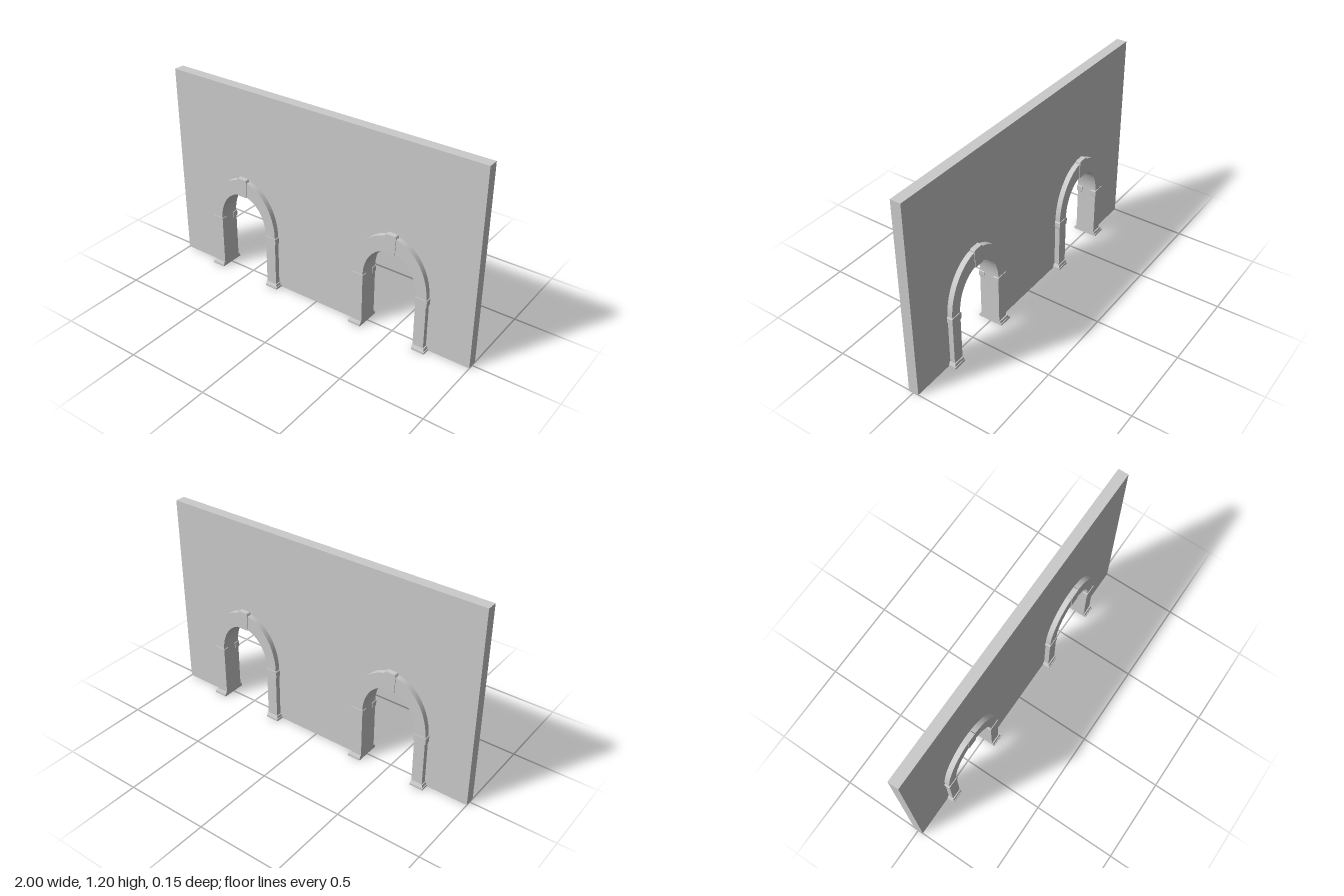
import * as THREE from 'three';
import { toCreasedNormals } from 'three/addons/utils/BufferGeometryUtils.js';

const WALL_Z = 0.031, BAND_Z = 0.062;      // half thicknesses of wall and trim
const IN = 0.167, OUT = 0.2325;            // half widths of opening and trim
const SPRING = 0.34, IN_TOP = 0.55, OUT_TOP = 0.643;
const CENTRES = [-0.506, 0.502];

const material = new THREE.MeshStandardMaterial({ color: 0xcccccc });

function add(parent, name, geometry) {
  const mesh = new THREE.Mesh(geometry, material);
  mesh.name = name;
  parent.add(mesh);
  return mesh;
}

function extrude(shape, z0, z1) {
  const g = new THREE.ExtrudeGeometry(shape, { depth: z1 - z0, bevelEnabled: false, curveSegments: 32 });
  g.translate(0, 0, z0);
  return toCreasedNormals(g, 0.5);
}

function box(x0, x1, y0, y1, z0, z1) {
  return new THREE.BoxGeometry(x1 - x0, y1 - y0, z1 - z0)
    .translate((x0 + x1) / 2, (y0 + y1) / 2, (z0 + z1) / 2);
}

// Box whose outer side and front draw in towards the top
function taperedBox(x0, x1, y0, y1, z0, z1, inset, side) {
  const g = box(x0, x1, y0, y1, z0, z1);
  const p = g.attributes.position;
  const outer = side > 0 ? x1 : x0;
  for (let i = 0; i < p.count; i++) {
    if (p.getY(i) < (y0 + y1) / 2) continue;
    if (Math.abs(p.getX(i) - outer) < 1e-5) p.setX(i, outer - side * inset);
    if (Math.abs(p.getZ(i) - z1) < 1e-5) p.setZ(i, z1 - inset);
  }
  g.computeVertexNormals();
  return g;
}

// Wall outline, notched by the two arched openings
function wallShape() {
  const s = new THREE.Shape();
  s.moveTo(-1, 0);
  for (const c of CENTRES) {
    s.lineTo(c - IN, 0);
    s.lineTo(c - IN, SPRING);
    s.absellipse(c, SPRING, IN, IN_TOP - SPRING, Math.PI, 0, true);
    s.lineTo(c + IN, 0);
  }
  s.lineTo(1, 0);
  s.lineTo(1, 1.2);
  s.lineTo(-1, 1.2);
  return s;
}

// Curved band between the outer and inner ellipses
function bandShape() {
  const s = new THREE.Shape();
  s.moveTo(OUT, SPRING);
  s.absellipse(0, SPRING, OUT, OUT_TOP - SPRING, 0, Math.PI, false);
  s.lineTo(-IN, SPRING);
  s.absellipse(0, SPRING, IN, IN_TOP - SPRING, Math.PI, 0, true);
  return s;
}

// Impost outline with clipped corners, seen from the front
function impostShape(side) {
  const a = IN - 0.004, b = OUT + 0.006, c = 0.005;
  const pts = [[a + c, 0.298], [b - c, 0.298], [b, 0.304], [b, 0.336],
    [b - c, 0.341], [a + c, 0.341], [a, 0.336], [a, 0.304]];
  return new THREE.Shape(pts.map(([x, y]) => new THREE.Vector2(side * x, y)));
}

// Keystone, slightly wider at the top
function keystoneShape() {
  const pts = [[-0.03, 0.544], [0.03, 0.544], [0.034, 0.648], [0.028, 0.656], [-0.028, 0.656], [-0.034, 0.648]];
  return new THREE.Shape(pts.map(([x, y]) => new THREE.Vector2(x, y)));
}

// All trim for one face of one opening
function archTrim() {
  const trim = new THREE.Group();
  trim.name = 'archTrim';
  add(trim, 'archBand', extrude(bandShape(), WALL_Z, BAND_Z));
  add(trim, 'keystone', extrude(keystoneShape(), 0.037, 0.066));
  for (const side of [-1, 1]) {
    const span = (inner, outer) => (side > 0 ? [inner, outer] : [-outer, -inner]);
    add(trim, 'pier', box(...span(IN, OUT), 0, SPRING, WALL_Z, BAND_Z));
    add(trim, 'impost', extrude(impostShape(side), WALL_Z, 0.066));
    add(trim, 'plinth', box(...span(IN, 0.247), 0, 0.013, WALL_Z, 0.077));
    add(trim, 'plinthCap', taperedBox(...span(IN, 0.243), 0.013, 0.026, WALL_Z, 0.073, 0.005, side));
  }
  return trim;
}

export function createModel() {
  const model = new THREE.Group();
  model.name = 'archedWall';
  add(model, 'wall', extrude(wallShape(), -WALL_Z, WALL_Z));
  // Each opening is trimmed on both faces
  for (const c of CENTRES) {
    for (const turn of [0, Math.PI]) {
      const trim = archTrim();
      trim.position.x = c;
      trim.rotation.y = turn;
      model.add(trim);
    }
  }
  return model;
}
